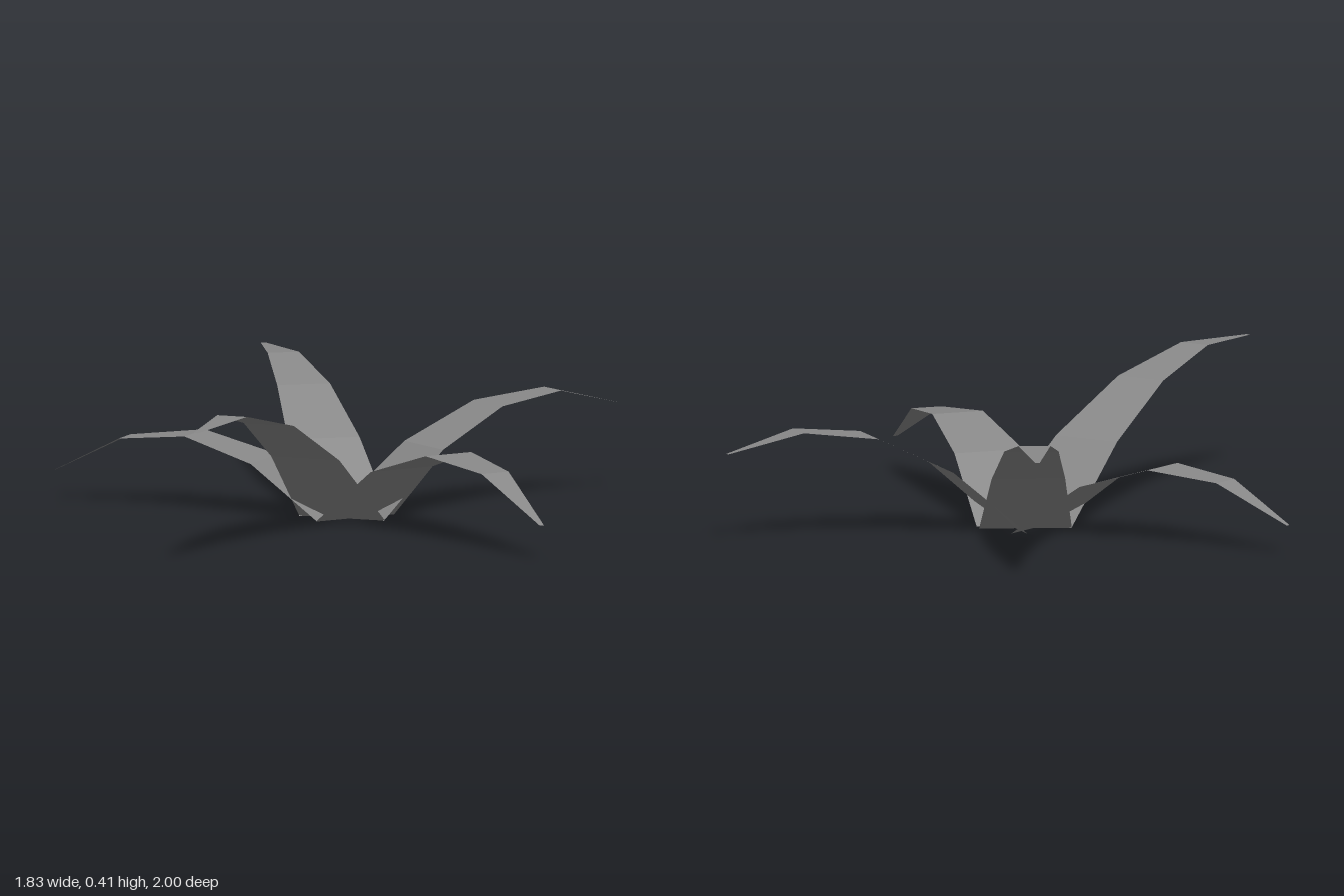
import * as THREE from 'three';

// Each leaf: heading in the xz plane (degrees, 0 = +x, 90 = +z), reach from the centre, rise and droop
const LEAVES = [
  { heading: 0, reach: 0.905, rise: 0.90, droop: 0.64 },
  { heading: -71.8, reach: 1.026, rise: 0.865, droop: 0.51 },
  { heading: -126.4, reach: 0.90, rise: 0.775, droop: 0.69 },
  { heading: 144.1, reach: 1.142, rise: 0.985, droop: 0.59 },
  { heading: 89, reach: 1.025, rise: 0.88, droop: 0.78 },
];
const WIDTHS = [0.265, 0.21, 0.155, 0.092, 0.014];
const BASE_OFFSET = 0.04;

// Flat tapering strip along +x, arching up and then drooping
function leafGeometry({ reach, rise, droop }) {
  const steps = WIDTHS.length - 1;
  const positions = [];
  const index = [];
  for (let i = 0; i <= steps; i++) {
    const t = i / steps;
    const x = BASE_OFFSET + (reach - BASE_OFFSET) * t;
    const y = rise * t - droop * t * t;
    positions.push(x, y, -WIDTHS[i] / 2, x, y, WIDTHS[i] / 2);
    if (i < steps) {
      const a = i * 2;
      index.push(a, a + 1, a + 2, a + 1, a + 3, a + 2);
    }
  }
  const geometry = new THREE.BufferGeometry();
  geometry.setAttribute('position', new THREE.Float32BufferAttribute(positions, 3));
  geometry.setIndex(index);
  const flat = geometry.toNonIndexed();
  flat.computeVertexNormals();
  return flat;
}

export function createModel() {
  const group = new THREE.Group();
  group.name = 'plant';
  const leafGrey = new THREE.MeshStandardMaterial({
    color: 0x888888, flatShading: true, side: THREE.DoubleSide,
  });
  leafGrey.name = 'leaf grey';

  // Leaves fan out around a small open centre
  LEAVES.forEach((leaf, i) => {
    const mesh = new THREE.Mesh(leafGeometry(leaf), leafGrey);
    mesh.name = `leaf${i + 1}`;
    mesh.rotation.y = -THREE.MathUtils.degToRad(leaf.heading);
    mesh.position.set(0.012, 0, -0.025);
    group.add(mesh);
  });
  return group;
}
